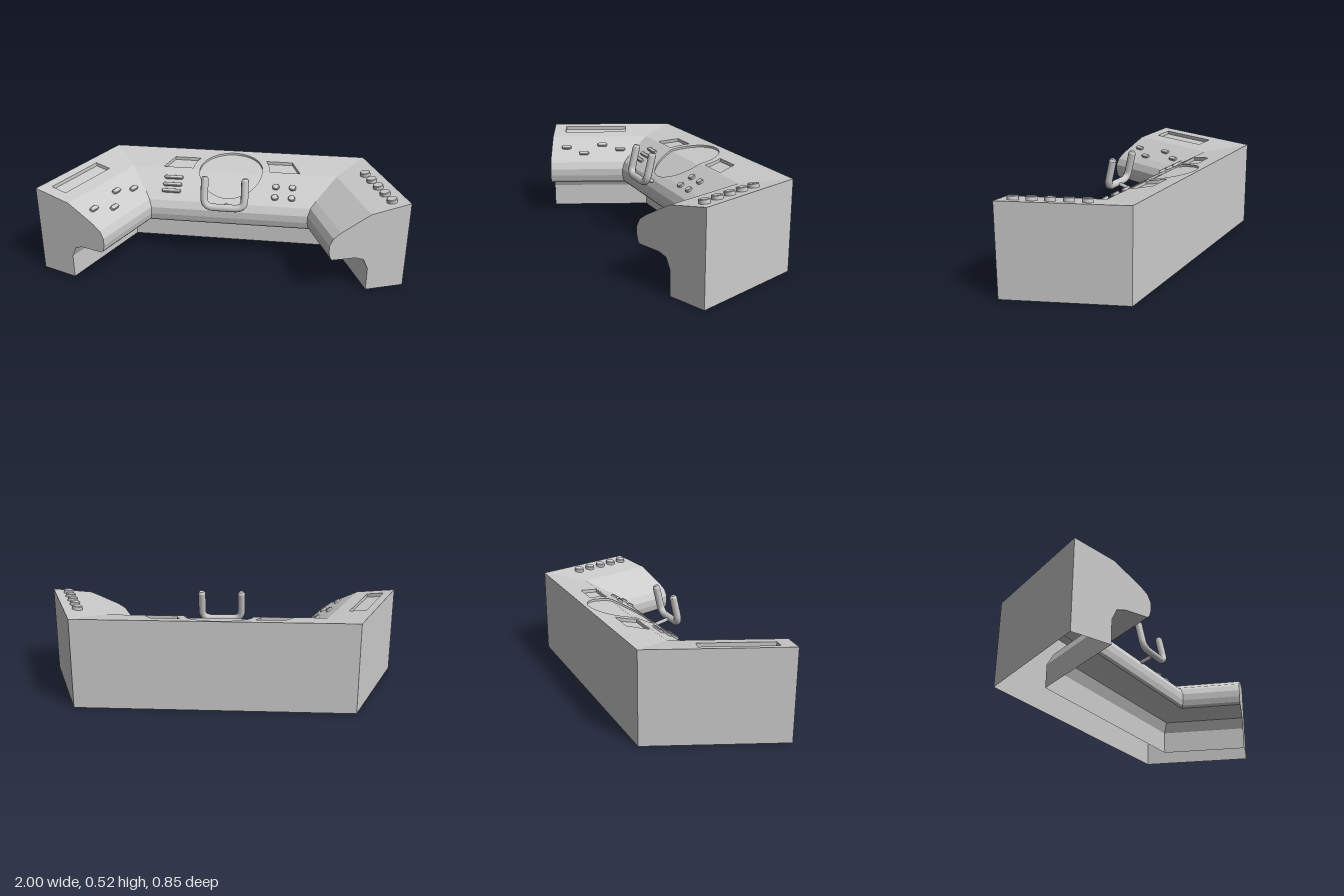
import * as THREE from 'three';

const material = new THREE.MeshStandardMaterial({ color: 0xcccccc, side: THREE.DoubleSide });

// Console cross-section as [depth from the back wall, height]; the underside is open
const PROFILE = [[0, 0], [0, 0.49], [0.22, 0.452], [0.28, 0.42], [0.38, 0.365], [0.42, 0.335],
  [0.44, 0.295], [0.44, 0.255], [0.432, 0.222], [0.42, 0.209], [0.29, 0.206], [0.242, 0.19],
  [0.215, 0.13], [0.215, 0]];
const TOP = PROFILE.slice(1, 7);
const TURN = THREE.MathUtils.degToRad(68.5);
const MITER = Math.tan(TURN / 2);
const V = (x, y) => new THREE.Vector2(x, y);

// Height and tilt of the upper surface at depth d
function surface(d) {
  const i = Math.max(1, TOP.findIndex(p => p[0] >= d));
  const [p, q] = [TOP[i - 1], TOP[i]];
  const y = p[1] + (q[1] - p[1]) * (d - p[0]) / (q[0] - p[0]);
  return { y, tilt: Math.atan2(p[1] - q[1], q[0] - p[0]) };
}

function addMesh(group, name, geometry) {
  const mesh = new THREE.Mesh(geometry, material);
  mesh.name = name;
  group.add(mesh);
  return mesh;
}

function flat(geometry) {
  const g = geometry.index ? geometry.toNonIndexed() : geometry;
  g.computeVertexNormals();
  return g;
}

// Flat panel on the facet p-q; outline and holes are lists of [x, v], v = 0..1 from p to q
function facet(group, name, p, q, outline, holes = [], drop = 0) {
  const toShape = pts => pts.map(([x, v]) => V(x, -v));
  const shape = new THREE.Shape(toShape(outline));
  holes.forEach(h => shape.holes.push(new THREE.Path(toShape(h))));
  const g = new THREE.ShapeGeometry(shape);
  const pos = g.attributes.position;
  for (let i = 0; i < pos.count; i++) {
    const v = -pos.getY(i);
    pos.setXYZ(i, pos.getX(i), p[1] + (q[1] - p[1]) * v - drop, p[0] + (q[0] - p[0]) * v);
  }
  addMesh(group, name, flat(g));
}

// Side walls of a recess, following the upper surface around [x, d] points
function recessWall(group, name, pts, drop) {
  const out = [];
  pts.forEach(([x, d], i) => {
    const [x2, d2] = pts[(i + 1) % pts.length];
    const a = surface(d).y, b = surface(d2).y;
    out.push(x, a, d, x, a - drop, d, x2, b, d2, x2, b, d2, x, a - drop, d, x2, b - drop, d2);
  });
  const g = new THREE.BufferGeometry();
  g.setAttribute('position', new THREE.Float32BufferAttribute(out, 3));
  addMesh(group, name, flat(g));
}

// Screen sunk into the first sloping facet; returns the hole outline
function screen(group, name, pts, drop) {
  const hole = pts.map(([x, d]) => [x, d / TOP[1][0]]);
  facet(group, name, TOP[0], TOP[1], hole, [], drop);
  recessWall(group, name + 'Wall', pts, drop);
  return hole;
}

// Plain mitred run of the console
function wing(group, start, end, hole) {
  for (let i = 1; i < PROFILE.length; i++) {
    const [p, q] = [PROFILE[i - 1], PROFILE[i]];
    facet(group, 'wingPanel', p, q,
      [[start(p[0]), 0], [end(p[0]), 0], [end(q[0]), 1], [start(q[0]), 1]], i === 2 && hole ? [hole] : []);
  }
}

function endCap(group, x, side) {
  const g = new THREE.ShapeGeometry(new THREE.Shape(PROFILE.map(([d, y]) => V(d * side, y))));
  const pos = g.attributes.position;
  for (let i = 0; i < pos.count; i++) pos.setXYZ(i, x, pos.getY(i), pos.getX(i) * side);
  addMesh(group, 'endCap', flat(g));
}

// Rounded button sitting on the upper surface
function pill(group, name, x, d, length, width, height) {
  const r = width / 2, h = Math.max(0, length / 2 - r);
  const shape = new THREE.Shape();
  shape.absarc(h, 0, r, -Math.PI / 2, Math.PI / 2);
  shape.absarc(-h, 0, r, Math.PI / 2, Math.PI * 1.5);
  const g = new THREE.ExtrudeGeometry(shape, { depth: height, curveSegments: 5, bevelSize: 0.003,
    bevelOffset: -0.003, bevelThickness: 0.003, bevelSegments: 1 });
  g.rotateX(-Math.PI / 2);
  const mesh = addMesh(group, name, g);
  const s = surface(d);
  mesh.position.set(x, s.y, d);
  mesh.rotation.x = s.tilt;
}

function section(root, name, x, angle) {
  const g = new THREE.Group();
  g.name = name;
  g.position.set(x, 0, -0.43);
  g.rotation.y = -angle;
  root.add(g);
  return g;
}

export function createModel() {
  const root = new THREE.Group();
  root.name = 'controlConsole';

  // Centre run, split around the round dial
  const centre = section(root, 'centreConsole', 0, 0);
  const R = 0.183, C = 0.21, SINK = 0.012;
  const half = d => Math.sqrt(Math.max(0, R * R - (d - C) ** 2));
  const dialD = [...Array(25).keys()].map(i => C - R * Math.cos(i * Math.PI / 24))
    .concat(TOP.map(p => p[0]).filter(d => Math.abs(d - C) < R)).sort((a, b) => a - b);
  const edge = { '-1': d => -0.73 + MITER * d, 1: d => 0.76 - MITER * d };
  const screens = {};
  for (const side of [-1, 1]) {
    const arc = [0.1, 0.137, 0.173, 0.21].map(d => [side * Math.sqrt(0.225 ** 2 - (d - C) ** 2), d]);
    screens[side] = screen(centre, 'sideScreen', [[side * 0.35, 0.1], ...arc, [side * 0.4, 0.21]], 0.018);
  }
  for (let i = 1; i < PROFILE.length; i++) {
    const [p, q] = [PROFILE[i - 1], PROFILE[i]];
    if (i < 2 || i > 5) {
      facet(centre, 'centrePanel', p, q,
        [[edge[-1](p[0]), 0], [edge[1](p[0]), 0], [edge[1](q[0]), 1], [edge[-1](q[0]), 1]]);
      continue;
    }
    const ds = [p[0], ...dialD.filter(d => d > p[0] + 1e-6 && d < q[0] - 1e-6), q[0]];
    const rim = side => ds.map(d => [side * half(d), (d - p[0]) / (q[0] - p[0])]);
    for (const side of [-1, 1]) {
      facet(centre, 'centrePanel', p, q,
        [[edge[side](q[0]), 1], [edge[side](p[0]), 0], ...rim(side)], i === 2 ? [screens[side]] : []);
    }
    facet(centre, 'dialFace', p, q, [...rim(-1), ...rim(1).reverse()], [], SINK);
  }
  recessWall(centre, 'dialWall', [...dialD.map(d => [-half(d), d]),
    ...dialD.map(d => [half(d), d]).reverse()], SINK);

  // Centre switches
  for (const d of [0.285, 0.33, 0.37]) pill(centre, 'barSwitch', -0.325, d, 0.11, 0.022, 0.01);
  for (const d of [0.31, 0.375]) for (const x of [0.27, 0.365]) pill(centre, 'roundButton', x, d, 0.04, 0.036, 0.01);

  // Wing with the long screen and oblong buttons
  const a = section(root, 'rightWing', -0.73, -TURN);
  const hole = screen(a, 'longScreen', [[-0.667, 0.048], [-0.28, 0.048], [-0.28, 0.141], [-0.667, 0.141]], 0.02);
  wing(a, () => -0.741, d => -MITER * d, hole);
  endCap(a, -0.741, -1 * -1);
  for (const [x, d] of [[-0.314, 0.332], [-0.426, 0.295], [-0.538, 0.363], [-0.649, 0.314]]) {
    pill(a, 'oblongButton', x, d, 0.06, 0.027, 0.01);
  }

  // Wing with the row of knobs
  const b = section(root, 'leftWing', 0.76, TURN);
  wing(b, d => MITER * d, () => 0.646);
  endCap(b, 0.646, -1);
  for (let i = 0; i < 5; i++) pill(b, 'knob', 0.217 + i * 0.089, 0.076, 0.056, 0.056, 0.018);

  // U-shaped control yoke on a short stem
  const yoke = new THREE.Group();
  yoke.name = 'yoke';
  root.add(yoke);
  const P = (x, y, z) => new THREE.Vector3(x, y, z);
  const path = new THREE.CurvePath();
  const top = s => P(s * 0.112, 0.508, 0.045), low = s => P(s * 0.112, 0.4, 0.07);
  const mid = s => P(s * 0.06, 0.353, 0.08), corner = s => P(s * 0.112, 0.355, 0.08);
  path.add(new THREE.LineCurve3(top(-1), low(-1)));
  path.add(new THREE.QuadraticBezierCurve3(low(-1), corner(-1), mid(-1)));
  path.add(new THREE.LineCurve3(mid(-1), mid(1)));
  path.add(new THREE.QuadraticBezierCurve3(mid(1), corner(1), low(1)));
  path.add(new THREE.LineCurve3(low(1), top(1)));
  addMesh(yoke, 'yokeGrip', new THREE.TubeGeometry(path, 48, 0.021, 10));
  for (const s of [-1, 1]) {
    const cap = addMesh(yoke, 'gripCap', new THREE.CylinderGeometry(0.014, 0.021, 0.012, 10));
    const dir = top(s).sub(low(s)).normalize();
    cap.position.copy(top(s)).addScaledVector(dir, 0.006);
    cap.quaternion.setFromUnitVectors(P(0, 1, 0), dir);
  }
  const stem = new THREE.LineCurve3(P(0, 0.325, -0.02), P(0, 0.352, 0.08));
  addMesh(yoke, 'yokeStem', new THREE.TubeGeometry(stem, 1, 0.011, 8));
  return root;
}
